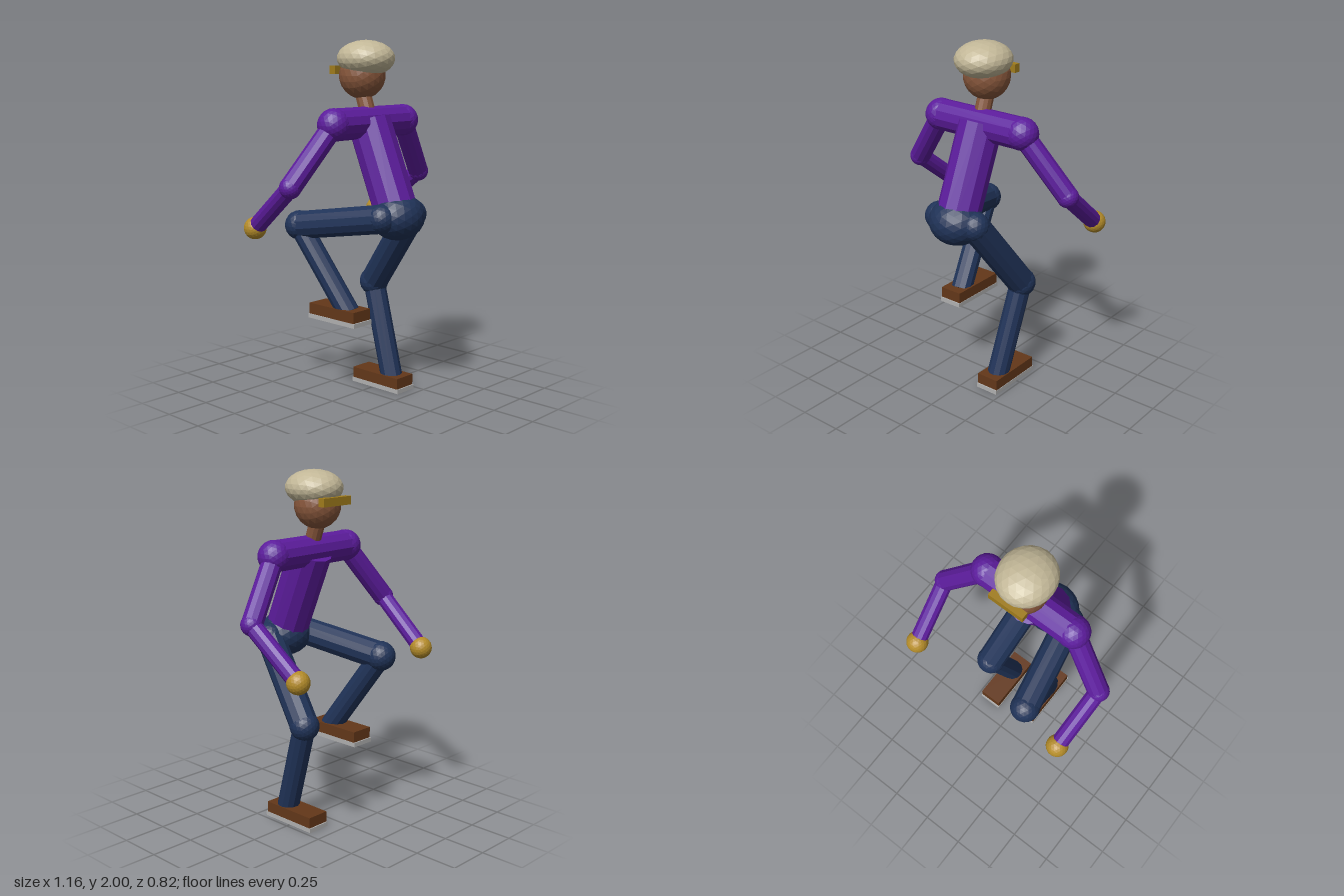
import * as THREE from 'three';

const paint = (color) => new THREE.MeshStandardMaterial({ color, flatShading: true });
const V = (x, y, z) => new THREE.Vector3(x, y, z);

export function createModel() {
  const model = new THREE.Group();
  model.name = 'figure';
  const shirt = paint(0x5c1c9c), trousers = paint(0x203358), skin = paint(0x85553a);
  const capMat = paint(0xc2b797), glove = paint(0xb48c2a), visorMat = paint(0xa07c1c);
  const leather = paint(0x633719), rubber = paint(0xb0b0b0);

  const add = (name, geometry, material, position, parent = model) => {
    const mesh = new THREE.Mesh(geometry, material);
    mesh.name = name;
    mesh.position.copy(position);
    parent.add(mesh);
    return mesh;
  };
  const ball = (name, material, p, rx, ry = rx, rz = rx, parent = model) =>
    add(name, new THREE.IcosahedronGeometry(1, 3).scale(rx, ry, rz), material, p, parent);
  const box = (name, material, p, w, h, d, parent = model) =>
    add(name, new THREE.BoxGeometry(w, h, d), material, p, parent);
  // Straight limb between two points
  const limb = (name, material, a, b, r, parent = model, sides = 12) => {
    const dir = b.clone().sub(a);
    const mesh = add(name, new THREE.CylinderGeometry(r, r, dir.length(), sides), material,
      a.clone().add(b).multiplyScalar(0.5), parent);
    mesh.quaternion.setFromUnitVectors(V(0, 1, 0), dir.normalize());
    return mesh;
  };

  // Trunk, leaning forward over the pelvis
  const pelvis = V(0, 1.05, 0.26), chest = V(0, 1.552, 0.05);
  ball('pelvis', trousers, pelvis, 0.158, 0.13, 0.146);
  limb('torso', shirt, pelvis, chest, 0.122);
  limb('shoulderBar', shirt, V(-0.28, 1.552, 0.05), V(0.28, 1.552, 0.05), 0.088);

  // Head, cap and visor
  limb('neck', skin, V(0, 1.57, 0.05), V(0, 1.74, -0.01), 0.045);
  ball('head', skin, V(0, 1.807, -0.003), 0.129);
  ball('cap', capMat, V(0, 1.9, 0.024), 0.154, 0.1, 0.166);
  box('visor', visorMat, V(0, 1.837, -0.131), 0.21, 0.046, 0.04);

  // Mirrored arms
  for (const side of [1, -1]) {
    const arm = new THREE.Group();
    arm.name = side > 0 ? 'leftArm' : 'rightArm';
    model.add(arm);
    const shoulder = V(side * 0.278, 1.552, 0.05);
    const elbow = V(side * 0.522, 1.232, -0.033);
    const hand = V(side * 0.495, 0.978, -0.348);
    ball('shoulder', shirt, shoulder, 0.09, 0.09, 0.09, arm);
    limb('upperArm', shirt, shoulder, elbow, 0.059, arm);
    ball('elbow', shirt, elbow, 0.06, 0.06, 0.06, arm);
    limb('forearm', shirt, elbow, hand, 0.049, arm);
    ball('hand', glove, hand, 0.063, 0.063, 0.063, arm);
  }

  // Legs: one planted, one raised
  const legs = [
    { name: 'plantedLeg', side: 1, knee: V(0.187, 0.607, -0.083), ankle: V(0.155, 0.06, 0.088), ground: 0 },
    { name: 'raisedLeg', side: -1, knee: V(-0.222, 0.968, -0.28), ankle: V(-0.156, 0.5, 0.04), ground: 0.442 },
  ];
  for (const { name, side, knee, ankle, ground } of legs) {
    const leg = new THREE.Group();
    leg.name = name;
    model.add(leg);
    const hip = V(side * 0.125, 1.05, 0.255);
    ball('hip', trousers, hip, 0.082, 0.082, 0.082, leg);
    limb('thigh', trousers, hip, knee, 0.081, leg);
    ball('knee', trousers, knee, 0.084, 0.084, 0.084, leg);
    limb('shin', trousers, knee, ankle, 0.063, leg);
    const z = ankle.z - 0.073;
    box('shoe', leather, V(ankle.x, ground + 0.055, z), 0.136, 0.064, 0.343, leg);
    box('sole', rubber, V(ankle.x, ground + 0.0125, z), 0.141, 0.025, 0.358, leg);
  }
  return model;
}
